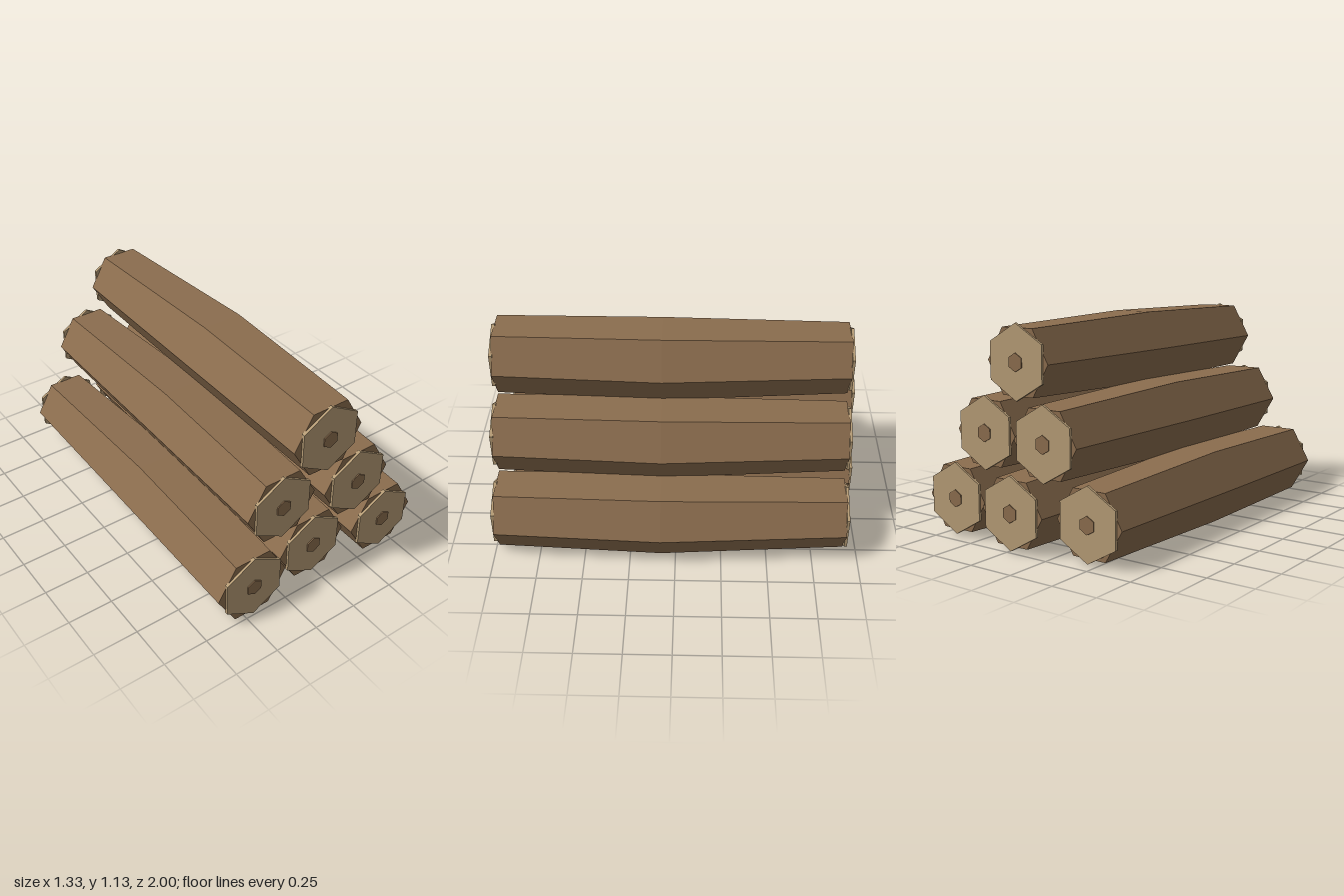
import * as THREE from 'three';

const barkMat = new THREE.MeshStandardMaterial({ color: 0x8b6d4e, flatShading: true });
barkMat.name = 'bark brown';
const cutMat = new THREE.MeshStandardMaterial({ color: 0xb59b75, flatShading: true });
cutMat.name = 'cut wood tan';

// Cross-sections of a log, back to front: centre offset, radius and depth
const SECTIONS = [
  { x: -0.002, y: 0, r: 0.193, z: -0.924 },
  { x: 0.024, y: -0.003, r: 0.225, z: 0.08 },
  { x: 0, y: 0, r: 0.21, z: 0.981 },
];

// Six-sided bark with a slight bend and swell in the middle
function barkGeometry() {
  const geo = new THREE.CylinderGeometry(1, 1, 2, 6, 2, false, Math.PI / 2);
  geo.rotateX(Math.PI / 2);
  const p = geo.attributes.position;
  for (let i = 0; i < p.count; i++) {
    const s = SECTIONS[Math.round(p.getZ(i)) + 1];
    p.setXYZ(i, s.x + p.getX(i) * s.r, s.y + p.getY(i) * s.r, s.z);
  }
  geo.computeVertexNormals();
  return geo;
}

// Six-sided disc facing along z, with corners at top and bottom
function discGeometry(radius, z0, z1) {
  const geo = new THREE.CylinderGeometry(radius, radius, Math.abs(z1 - z0), 6);
  geo.rotateX(Math.PI / 2);
  geo.translate(0, 0, (z0 + z1) / 2);
  return geo;
}

export function createModel() {
  const model = new THREE.Group();
  model.name = 'logPile';

  const parts = [
    ['bark', barkGeometry(), barkMat],
    ['frontCutFace', discGeometry(0.191, 0.975, 0.994), cutMat],
    ['frontCore', discGeometry(0.047, 0.98, 1), barkMat],
    ['backCutFace', discGeometry(0.191, -0.92, -0.935), cutMat],
    ['backCore', discGeometry(0.047, -0.92, -0.94), barkMat],
  ];

  // Pyramid of three, two and one; some logs are pushed back
  const setBack = [[0, 1, 0], [1, 0], [0]];
  setBack.forEach((row, r) => row.forEach((pushed, i) => {
    const log = new THREE.Group();
    log.name = `logRow${r + 1}Number${i + 1}`;
    for (const [name, geo, mat] of parts) {
      const mesh = new THREE.Mesh(geo, mat);
      mesh.name = name;
      log.add(mesh);
    }
    log.position.set(-0.021 + (i - (row.length - 1) / 2) * 0.433, 0.198 + r * 0.37, -0.06 * pushed);
    model.add(log);
  }));
  return model;
}
